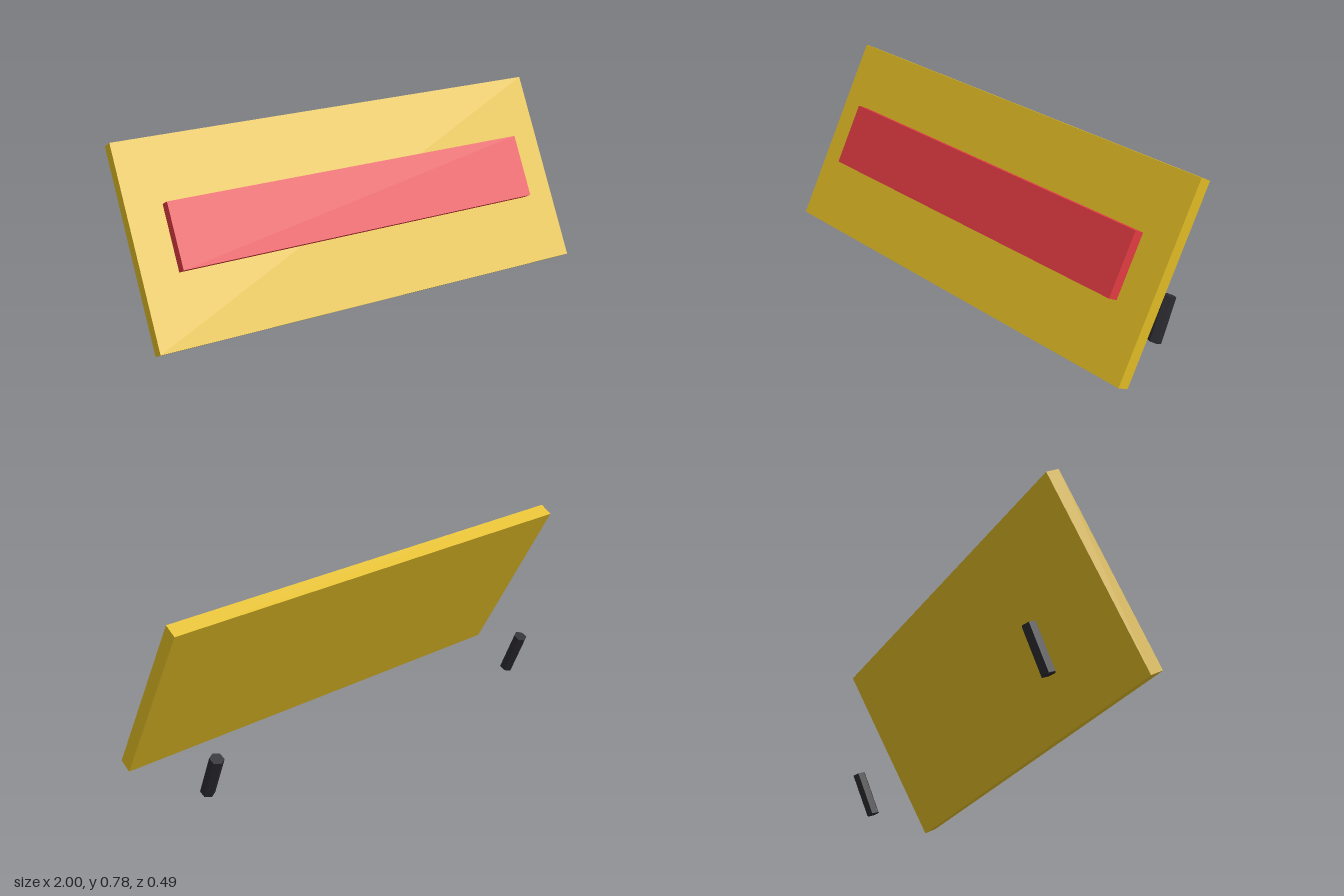
import * as THREE from 'three';

export function createModel() {
  const model = new THREE.Group();
  model.name = 'tiltedBoard';

  const yellow = new THREE.MeshStandardMaterial({ color: 0xe0bb25 });
  yellow.name = 'yellow';
  const red = new THREE.MeshStandardMaterial({ color: 0xe03b42 });
  red.name = 'red';
  const black = new THREE.MeshStandardMaterial({ color: 0x2b2b30 });
  black.name = 'black';
  black.flatShading = true;

  function add(parent, name, geometry, material, x, y, z) {
    const mesh = new THREE.Mesh(geometry, material);
    mesh.name = name;
    mesh.position.set(x, y, z);
    parent.add(mesh);
    return mesh;
  }

  // Board leaning backwards with a raised panel on its face
  const board = new THREE.Group();
  board.name = 'leaningBoard';
  board.position.set(0, 0.398, 0.0145);
  board.rotation.x = -0.5;
  model.add(board);
  add(board, 'boardSlab', new THREE.BoxGeometry(2, 0.844, 0.06), yellow, 0, 0, 0);
  add(board, 'raisedPanel', new THREE.BoxGeometry(1.694, 0.276, 0.052), red, 0, 0.011, 0.055);

  // Short hexagonal pegs behind the board, tilted back
  const pegGeometry = new THREE.CylinderGeometry(0.03, 0.03, 0.199, 6);
  for (const side of [-1, 1]) {
    const peg = add(model, side > 0 ? 'leftPeg' : 'rightPeg', pegGeometry, black,
      side * 0.847, 0.105, -0.1775);
    peg.rotation.x = -0.393;
  }

  return model;
}
